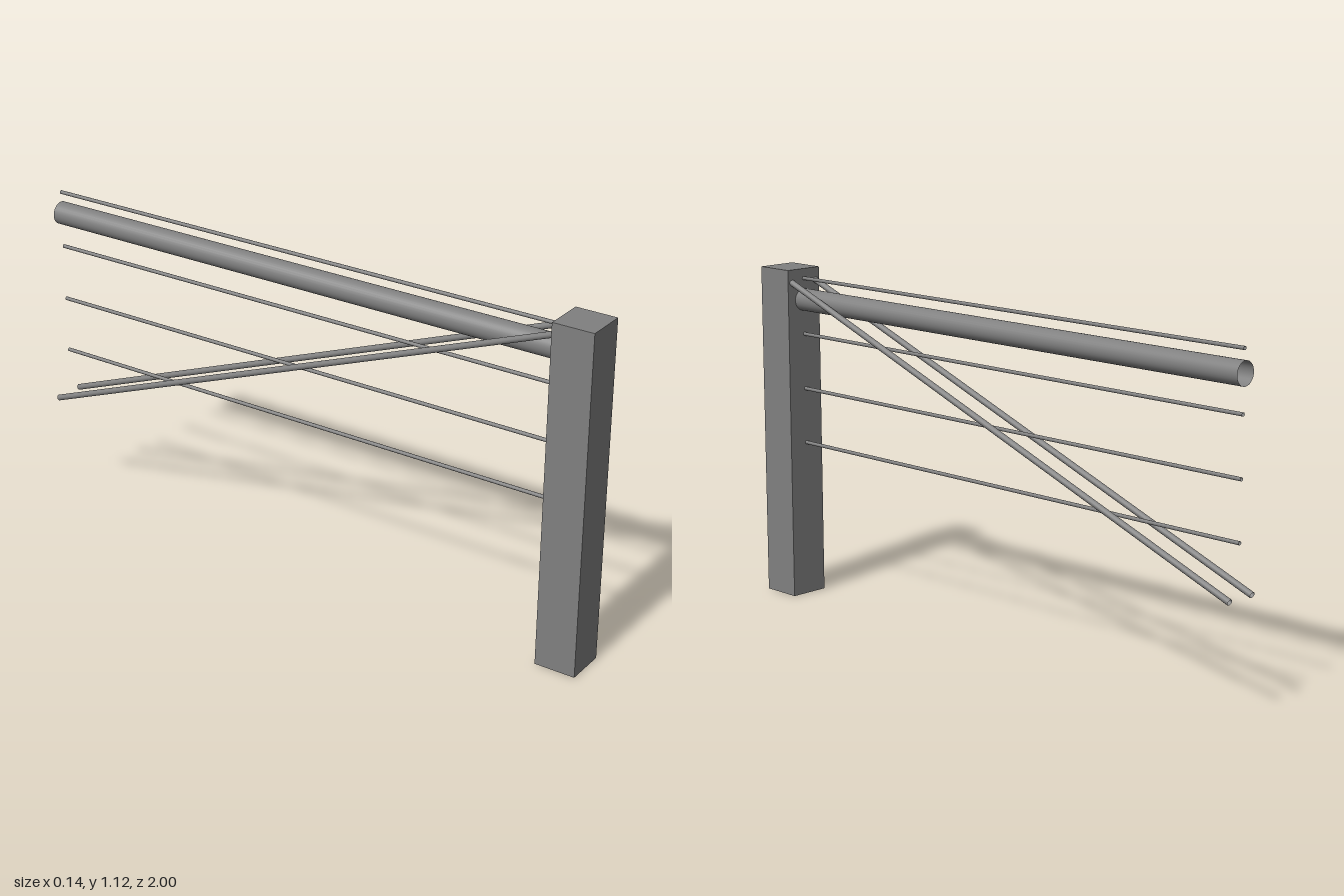
import * as THREE from 'three';

const BACK = 0.865;   // rear face of the post
const END = -0.99;    // far end of the rail and wires

export function createModel() {
  const group = new THREE.Group();
  group.name = 'railing';
  const steel = new THREE.MeshStandardMaterial({ color: 0x808080, side: THREE.DoubleSide });
  steel.name = 'grey steel';

  // open tube between two points
  function tube(name, from, to, radius, sides) {
    const a = new THREE.Vector3(...from), b = new THREE.Vector3(...to);
    const dir = b.clone().sub(a);
    const mesh = new THREE.Mesh(
      new THREE.CylinderGeometry(radius, radius, dir.length(), sides, 1, true), steel);
    mesh.name = name;
    mesh.position.copy(a).add(b).multiplyScalar(0.5);
    mesh.quaternion.setFromUnitVectors(new THREE.Vector3(0, 1, 0), dir.normalize());
    group.add(mesh);
  }

  // hollow square post, open at the bottom
  const box = new THREE.BoxGeometry(0.135, 1.115, 0.135);
  const index = Array.from(box.index.array);
  index.splice(18, 6); // drop the bottom face
  box.setIndex(index);
  box.clearGroups();
  const post = new THREE.Mesh(box, steel);
  post.name = 'post';
  post.position.set(0, 0.5575, 0.9325);
  group.add(post);

  // handrail
  tube('handrail', [0, 1.012, BACK], [0, 1.012, END], 0.037, 32);

  // horizontal wires
  [1.083, 0.896, 0.711, 0.526].forEach((y, i) =>
    tube('wire' + (i + 1), [0, y, BACK], [0, y, END + 0.004], 0.006, 12));

  // pair of sloping braces
  for (const s of [-1, 1])
    tube(s > 0 ? 'leftBrace' : 'rightBrace', [s * 0.051, 1.073, BACK], [s * 0.051, 0.365, -0.995], 0.01, 12);

  return group;
}
